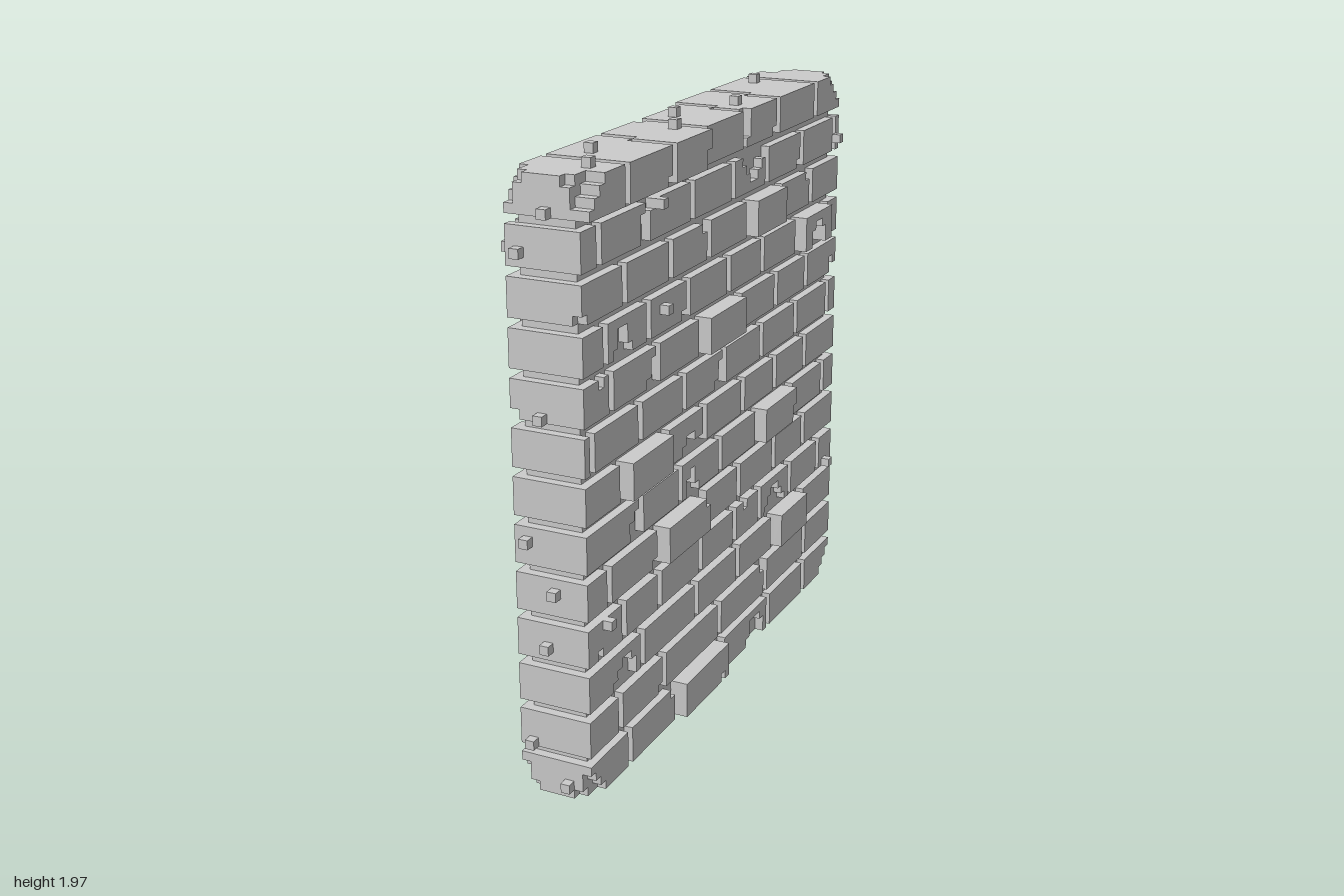
import * as THREE from 'three';

const U = 2 / 66; // one block unit; everything below is in block units
const material = new THREE.MeshStandardMaterial({ color: 0xcccccc, flatShading: true });

// Upper z of each one-unit joint, per row from the bottom
const joints = [
  [24, 13, 1, -12, -23],
  [26, 16, 2, -11, -23],
  [21, 8, -3, -13, -22],
  [25, 17, 7, -2, -9, -18, -27],
  [28, 17, 6, -3, -13, -22],
  [21, 12, 2, -8, -18, -28],
  [25, 15, 6, -4, -13, -22],
  [31, 21, 11, 1, -9, -19, -29],
  [27, 17, 7, -3, -13, -22],
  [28, 19, 10, 0, -9, -19, -28],
  [24, 14, 5, -5, -14, -23],
  [29, 19, 9, -1, -10, -20, -30],
  [25, 15, 6, -4, -13, -24],
];

// Bricks that stand one unit proud: row -> upper z of the brick
const proud = { 0: [12], 2: [-14], 4: [16], 5: [-9], 6: [24], 8: [6], 9: [-20], 10: [-6], 12: [32, 24, 14] };

// Broken edges: row, lowest z, depth per column, t(op) or b(ottom)
const chips = [
  [12, 15, [1], 'b'], [12, -5, [2], 't'], [12, -6, [3], 't'], [12, -13, [1], 'b'], [12, 6, [2], 'b'],
  [11, -10, [1, 2, 3, 3, 2, 1], 't'], [11, 19, [3], 'b'], [11, -20, [1], 'b'], [11, 17, [1], 't'],
  [10, 5, [1], 't'], [10, -23, [1], 't'], [10, 31, [1], 'b'],
  [9, 22, [1, 3, 3, 1], 'b'], [9, -26, [2, 3, 3, 2], 'b'], [9, -10, [2], 'b'], [9, 10, [1], 'b'],
  [8, 17, [3, 1], 'b'], [8, 28, [1], 't'], [8, -32, [1, 2], 'b'],
  [7, 1, [3, 1], 'b'],
  [6, 6, [1, 1, 2, 2, 1], 'b'], [6, -23, [2], 'b'],
  [5, 21, [3, 2], 'b'], [5, 7, [1, 3, 2], 'b'], [5, -18, [2], 'b'],
  [4, 17, [1], 'b'], [4, 6, [1], 't'],
  [3, -17, [1, 2, 3, 3, 2, 1], 'b'], [3, -6, [1], 't'], [3, 29, [1], 'b'],
  [2, 22, [2, 3, 3, 2, 1], 'b'], [2, 7, [2], 't'],
  [1, 16, [1], 'b'], [1, -12, [2, 1], 't'],
  [0, -11, [2, 3, 3, 3, 1], 'b'], [0, 12, [3, 1], 't'], [0, -24, [1], 't'], [0, 2, [1], 'b'],
];

function add(group, name, geometry) {
  const mesh = new THREE.Mesh(geometry, material);
  mesh.name = name;
  group.add(mesh);
}

function block(group, name, x0, x1, y0, y1, z0, z1) {
  const g = new THREE.BoxGeometry(x1 - x0, y1 - y0, z1 - z0);
  g.translate((x0 + x1) / 2, (y0 + y1) / 2, (z0 + z1) / 2);
  add(group, name, g);
}

// Slab between x0 and x1 whose bottom and top edges step by column
function steppedSlab(group, name, x0, x1, y0, z0, z1, bottom, top) {
  const n = z1 - z0;
  const pts = [];
  const walk = (a, b, y) => {
    const last = pts[pts.length - 1];
    if (last && last.y === y) last.x = b;
    else pts.push(new THREE.Vector2(a, y), new THREE.Vector2(b, y));
  };
  for (let i = n - 1; i >= 0; i--) walk(-z0 - i - 1, -z0 - i, y0 + bottom[i]);
  for (let i = 0; i < n; i++) walk(-z0 - i, -z0 - i - 1, y0 + 4 - top[i]);
  const g = new THREE.ExtrudeGeometry(new THREE.Shape(pts), { depth: x1 - x0, bevelEnabled: false });
  g.rotateY(Math.PI / 2).translate(x0, 0, 0);
  add(group, name, g);
}

function brick(group, row, z0, z1) {
  const y = row * 5;
  const face = (proud[row] || []).includes(z1) ? 5 : 4;
  const n = z1 - z0;
  const bottom = Array(n).fill(0);
  const top = Array(n).fill(0);
  let chipped = false;
  for (const [r, z, depths, edge] of chips) {
    if (r !== row) continue;
    depths.forEach((d, i) => {
      const c = z + i - z0;
      if (c < 0 || c >= n) return;
      (edge === 't' ? top : bottom)[c] = d;
      chipped = true;
    });
  }
  // Outer corners of the wall crumble in steps through the brick's depth
  if ((row === 0 || row === 12) && (z1 === 32 || z0 === -32)) {
    const edge = row ? top : bottom;
    const crumble = (steps) => steps.forEach((d, i) => { edge[z1 === 32 ? n - 1 - i : i] = d; });
    block(group, 'cornerBrickBack', 0, 2, y, y + 4, z0, z1);
    crumble([1]);
    steppedSlab(group, 'cornerBrickMiddle', 2, 3, y, z0, z1, bottom, top);
    crumble([3, 2, 1]);
    steppedSlab(group, 'cornerBrickFace', 3, face, y, z0, z1, bottom, top);
  } else if (chipped) {
    block(group, 'chippedBrickBack', 0, 3, y, y + 4, z0, z1);
    steppedSlab(group, 'chippedBrickFace', 3, face, y, z0, z1, bottom, top);
  } else if (face === 5) {
    block(group, 'brick', 0, 4, y, y + 4, z0, z1);
    block(group, 'proudBrickFace', 4, 5, y, y + 4, z0, z1);
  } else {
    block(group, 'brick', 0, 4, y, y + 4, z0, z1);
  }
}

// One long face of the wall with its pebbles, plus the pebbles on one end
function wallHalf() {
  const half = new THREE.Group();
  joints.forEach((row, r) => {
    const tops = [32, ...row.map((g) => g - 1)];
    const lows = [...row, -32];
    tops.forEach((z1, i) => { if (z1 > lows[i]) brick(half, r, lows[i], z1); });
  });
  const facePebbles = [[58, 16], [47, 15], [18, 28], [15, -30], [56, -31]];
  for (const [y, z] of facePebbles) block(half, 'facePebble', 4, 5, y, y + 1, z, z + 1);
  const endPebbles = [[0, 60], [-3, 56], [-1, 40], [-3, 27], [0, 22], [-1, 16], [-3, 5], [1, 1]];
  for (const [x, y] of endPebbles) block(half, 'endPebble', x, x + 1, y, y + 1, 32, 33);
  return half;
}

export function createModel() {
  const model = new THREE.Group();
  model.name = 'brickWall';
  const wall = new THREE.Group();
  wall.name = 'wall';
  wall.scale.setScalar(U);
  model.add(wall);

  // Mortar core, set back behind the bricks
  block(wall, 'mortar', -3, 3, 1, 63, -31, 31);

  // The second face is the first turned half round
  const right = wallHalf();
  right.name = 'leftFace';
  const left = wallHalf();
  left.name = 'rightFace';
  left.rotation.y = Math.PI;
  wall.add(right, left);

  // Pebbles along the top
  const topPebbles = [[2, 27], [-1, 21], [1, 7], [-2, 1], [1, -8], [-3, -22]];
  for (const [x, z] of topPebbles) block(wall, 'topPebble', x, x + 1, 64, 65, z, z + 1);
  return model;
}
